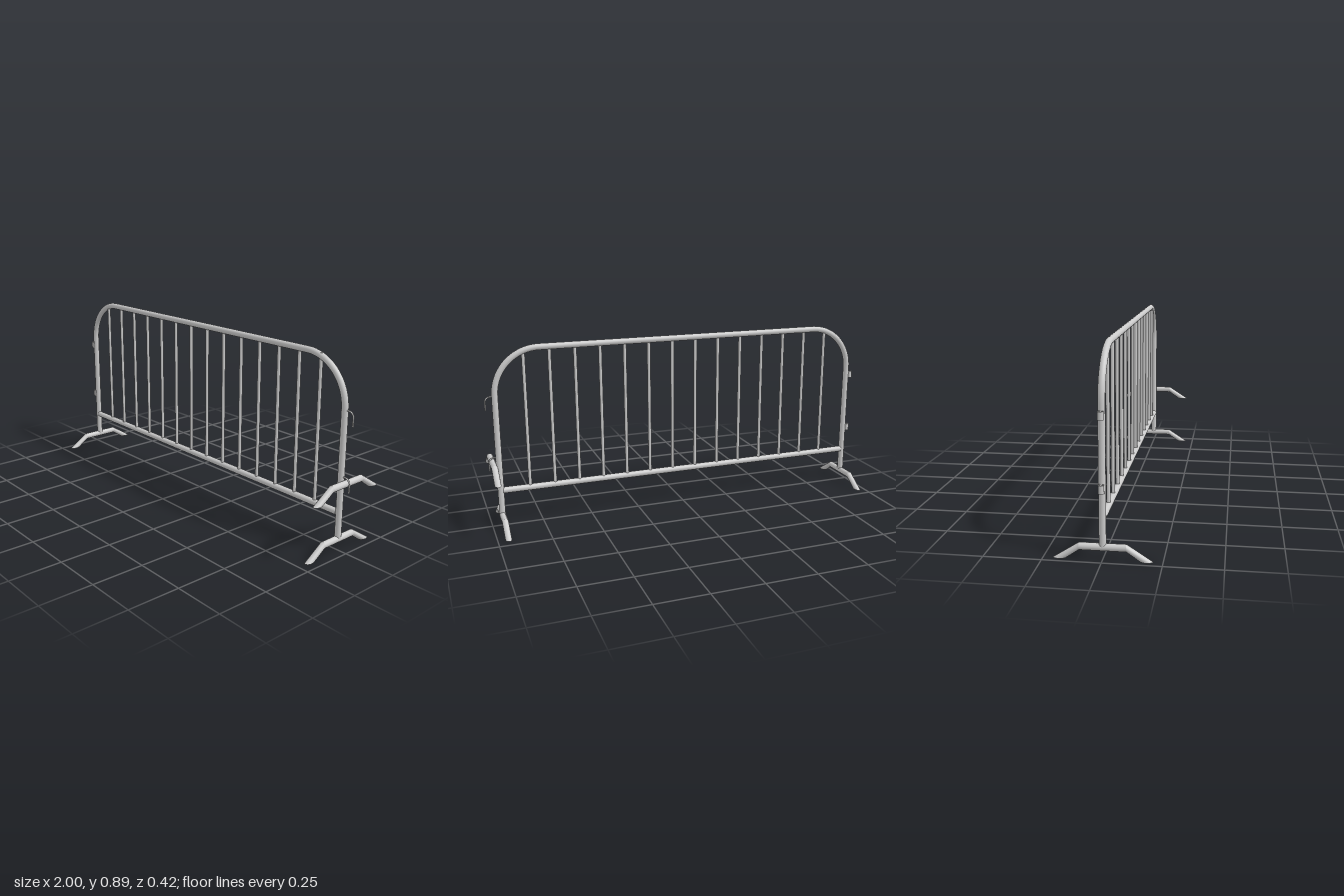
import * as THREE from 'three';

const steel = new THREE.MeshStandardMaterial({ color: 0xcccccc });
const R = 0.0155, LEFT = -0.963, RIGHT = 0.949, TOP = 0.8795, BEND = 0.22, RAIL = 0.182;
const v = (x, y, z = 0) => new THREE.Vector3(x, y, z);

function add(parent, name, geometry, x = 0, y = 0, z = 0) {
  const mesh = new THREE.Mesh(geometry, steel);
  mesh.name = name;
  mesh.position.set(x, y, z);
  parent.add(mesh);
  return mesh;
}

// Quarter bend between two points around a corner
function bend(a, corner, b) {
  const k = 0.5523;
  return new THREE.CubicBezierCurve3(a, a.clone().lerp(corner, k), b.clone().lerp(corner, k), b);
}

function frameGeometry() {
  const path = new THREE.CurvePath();
  const p = [v(LEFT, 0.055), v(LEFT, TOP - BEND), v(LEFT + BEND, TOP),
    v(RIGHT - BEND, TOP), v(RIGHT, TOP - BEND), v(RIGHT, 0.055)];
  path.add(new THREE.LineCurve3(p[0], p[1]));
  path.add(bend(p[1], v(LEFT, TOP), p[2]));
  path.add(new THREE.LineCurve3(p[2], p[3]));
  path.add(bend(p[3], v(RIGHT, TOP), p[4]));
  path.add(new THREE.LineCurve3(p[4], p[5]));
  return new THREE.TubeGeometry(path, 200, R, 20);
}

// Mitred tube through elliptical rings given as [z, y, half depth, half height]
function mitredTube(rings) {
  const n = 20, pos = [], index = [];
  const point = ([z, y, hz, hy], a) =>
    pos.push(R * Math.cos(a), y + hy * Math.sin(a), z + hz * Math.sin(a));
  for (let s = 0; s < rings.length - 1; s++) {
    const base = pos.length / 3;
    for (const ring of [rings[s], rings[s + 1]])
      for (let i = 0; i <= n; i++) point(ring, (i / n) * Math.PI * 2);
    for (let i = 0; i < n; i++) {
      const a = base + i, b = a + n + 1;
      index.push(a, a + 1, b, b, a + 1, b + 1);
    }
  }
  // Flat soles
  for (const [ring, flip] of [[rings[0], true], [rings[rings.length - 1], false]]) {
    const base = pos.length / 3;
    for (let i = 0; i < n; i++) point(ring, (i / n) * Math.PI * 2);
    for (let i = 1; i < n - 1; i++)
      index.push(base, base + (flip ? i + 1 : i), base + (flip ? i : i + 1));
  }
  const g = new THREE.BufferGeometry();
  g.setAttribute('position', new THREE.Float32BufferAttribute(pos, 3));
  g.setIndex(index);
  g.computeVertexNormals();
  return g;
}

export function createModel() {
  const model = new THREE.Group();
  model.name = 'crowdBarrier';

  add(model, 'frame', frameGeometry());

  // Bottom rail
  const rail = add(model, 'bottomRail',
    new THREE.CylinderGeometry(R, R, RIGHT - LEFT - 0.02, 20), (LEFT + RIGHT) / 2, RAIL);
  rail.rotation.z = Math.PI / 2;

  // Upright bars
  const bars = new THREE.Group();
  bars.name = 'bars';
  model.add(bars);
  const barGeometry = new THREE.CylinderGeometry(0.0085, 0.0085, TOP - RAIL, 14);
  for (let i = 0; i < 14; i++)
    add(bars, 'bar', barGeometry, -0.813 + i * 0.1245, (TOP + RAIL) / 2);

  // Feet under both posts, plus one raised beside the left post
  const foot = mitredTube([
    [-0.182, 0, -0.027, 0], [-0.099, 0.0548, 0, 0.016],
    [0.099, 0.0548, 0, 0.016], [0.182, 0, 0.027, 0],
  ]);
  add(model, 'rightFoot', foot, LEFT);
  add(model, 'leftFoot', foot, RIGHT);
  add(model, 'raisedFoot', foot, 0.981, 0.275);

  // Coupling hooks on one post
  const hookPath = new THREE.CurvePath();
  hookPath.add(new THREE.LineCurve3(v(0.95, 0.066), v(0.972, 0.066)));
  hookPath.add(bend(v(0.972, 0.066), v(0.996, 0.066), v(0.996, 0.042)));
  hookPath.add(new THREE.LineCurve3(v(0.996, 0.042), v(0.996, 0)));
  const hookGeometry = new THREE.TubeGeometry(hookPath, 32, 0.004, 10);
  const tipGeometry = new THREE.CircleGeometry(0.004, 10).rotateX(Math.PI / 2);
  for (const y of [0.287, 0.589]) {
    add(model, 'hook', hookGeometry, 0, y);
    add(model, 'hookTip', tipGeometry, 0.996, y);
  }

  // Coupling sleeves on the other post
  const h = 0.018;
  const sleeveProfile = [[0.009, -h], [0.013, -h], [0.013, -h], [0.013, h], [0.013, h],
    [0.009, h], [0.009, h], [0.009, -h]].map(([x, y]) => new THREE.Vector2(x, y));
  const sleeve = new THREE.LatheGeometry(sleeveProfile, 20);
  for (const y of [0.311, 0.614]) add(model, 'sleeve', sleeve, -0.987, y);

  return model;
}
